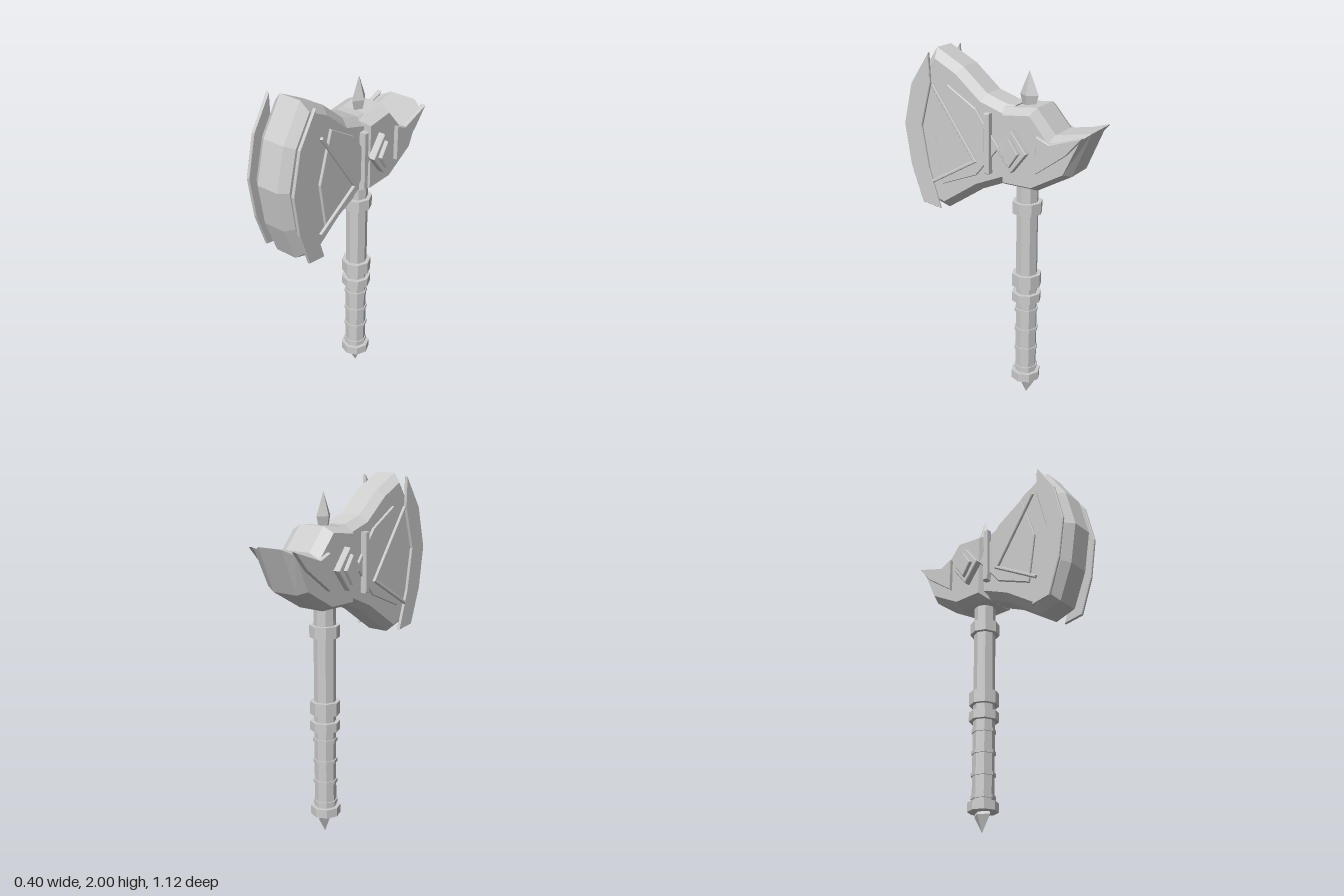
import * as THREE from 'three';

const steel = new THREE.MeshStandardMaterial({ color: 0xcccccc });
steel.name = 'light grey steel';

const AXIS_Z = -0.152; // handle axis

export function createModel() {
  const group = new THREE.Group();
  group.name = 'battleAxe';

  const add = (name, geometry) => {
    const flat = geometry.index ? geometry.toNonIndexed() : geometry;
    flat.computeVertexNormals();
    const mesh = new THREE.Mesh(flat, steel);
    mesh.name = name;
    group.add(mesh);
  };

  // Side profile of [z, y] points, extruded across x from x0 to x1 with chamfered edges
  const slab = (name, points, x0, x1, bevelX, bevel) => {
    const shape = new THREE.Shape(points.map(([z, y]) => new THREE.Vector2(z, y)));
    const geometry = new THREE.ExtrudeGeometry(shape, {
      depth: x1 - x0 - 2 * bevelX,
      bevelThickness: bevelX,
      bevelSize: bevel,
      bevelOffset: -bevel,
      bevelSegments: 1,
    });
    geometry.rotateY(-Math.PI / 2);
    geometry.translate(x1 - bevelX, 0, 0);
    add(name, geometry);
  };

  // The same plate on both sides of the head
  const pair = (name, points, x0, x1) => {
    slab('left' + name, points, x0, x1, 0.004, 0.004);
    slab('right' + name, points, -x1, -x0, 0.004, 0.004);
  };

  const diamond = (w, h) => [
    [AXIS_Z + w, 1.535], [AXIS_Z, 1.535 + h], [AXIS_Z - w, 1.535], [AXIS_Z, 1.535 - h],
  ];

  // Chamfered blade body
  slab('bladeBody', [
    [0.376, 2.0], [0.21, 1.915], [0.06, 1.79], [-0.06, 1.752], [-0.115, 1.752],
    [-0.115, 1.33], [-0.06, 1.322], [0.09, 1.257], [0.32, 1.103],
    [0.445, 1.142], [0.525, 1.345], [0.562, 1.58], [0.503, 1.81],
  ], -0.108, 0.108, 0.045, 0.04);

  // Chamfered hammer body with a raised rear beak
  slab('hammerBody', [
    [-0.05, 1.738], [-0.25, 1.76], [-0.36, 1.635], [-0.562, 1.672],
    [-0.46, 1.43], [-0.26, 1.317], [-0.05, 1.317],
  ], -0.14, 0.14, 0.06, 0.03);

  // Crescent plates beside the cutting edge
  pair('EdgePlate', [
    [0.372, 1.985], [0.49, 1.81], [0.545, 1.58], [0.51, 1.345], [0.438, 1.14],
    [0.32, 1.122], [0.39, 1.345], [0.43, 1.58], [0.365, 1.82],
  ], 0.137, 0.155);

  // Pointed cheek plates
  pair('CheekPlate', [
    [0.255, 1.83], [0.345, 1.555], [0.3, 1.27], [0.08, 1.36], [-0.065, 1.535], [0.08, 1.725],
  ], 0.136, 0.153);

  // V-shaped trim and upright bar
  pair('VTrim', [
    [0.35, 1.815], [0.336, 1.825], [0.065, 1.44], [0.355, 1.27], [0.364, 1.285], [0.092, 1.445],
  ], 0.152, 0.17);
  pair('UprightBar', [
    [0.016, 1.715], [-0.017, 1.715], [-0.017, 1.387], [0.016, 1.387],
  ], 0.137, 0.175);

  // Stepped diamond bosses
  pair('DiamondBase', diamond(0.09, 0.115), 0.135, 0.178);
  pair('DiamondCap', diamond(0.054, 0.08), 0.17, 0.2);

  // Tapering wing plates on the beak
  pair('WingPlate', [
    [-0.29, 1.635], [-0.365, 1.605], [-0.55, 1.665], [-0.46, 1.56], [-0.29, 1.435],
  ], 0.135, 0.163);

  // Octagonal handle and its bands
  const column = (name, y0, y1, radius) => {
    const geometry = new THREE.CylinderGeometry(radius, radius, y1 - y0, 8);
    geometry.translate(0, (y0 + y1) / 2, AXIS_Z);
    add(name, geometry);
  };
  column('handle', 0.12, 1.4, 0.061);
  for (const [y0, y1] of [[0.11, 0.16], [0.617, 0.669], [0.71, 0.785], [1.148, 1.215]]) {
    column('handleCollar', y0, y1, 0.084);
  }
  for (const y of [0.187, 0.312, 0.435, 0.558]) column('gripRing', y - 0.01, y + 0.01, 0.068);

  // Four-sided spikes, narrower across x
  const spike = (name, profile) => {
    const geometry = new THREE.LatheGeometry(profile.map(([r, y]) => new THREE.Vector2(r, y)), 4);
    geometry.scale(0.66, 1, 1);
    geometry.translate(0, 0, AXIS_Z - 0.005);
    add(name, geometry);
  };
  spike('topSpike', [[0, 1.71], [0.036, 1.73], [0.055, 1.8], [0, 1.927]]);
  spike('pommelSpike', [[0, 0], [0.057, 0.095], [0.045, 0.12], [0, 0.125]]);

  return group;
}
